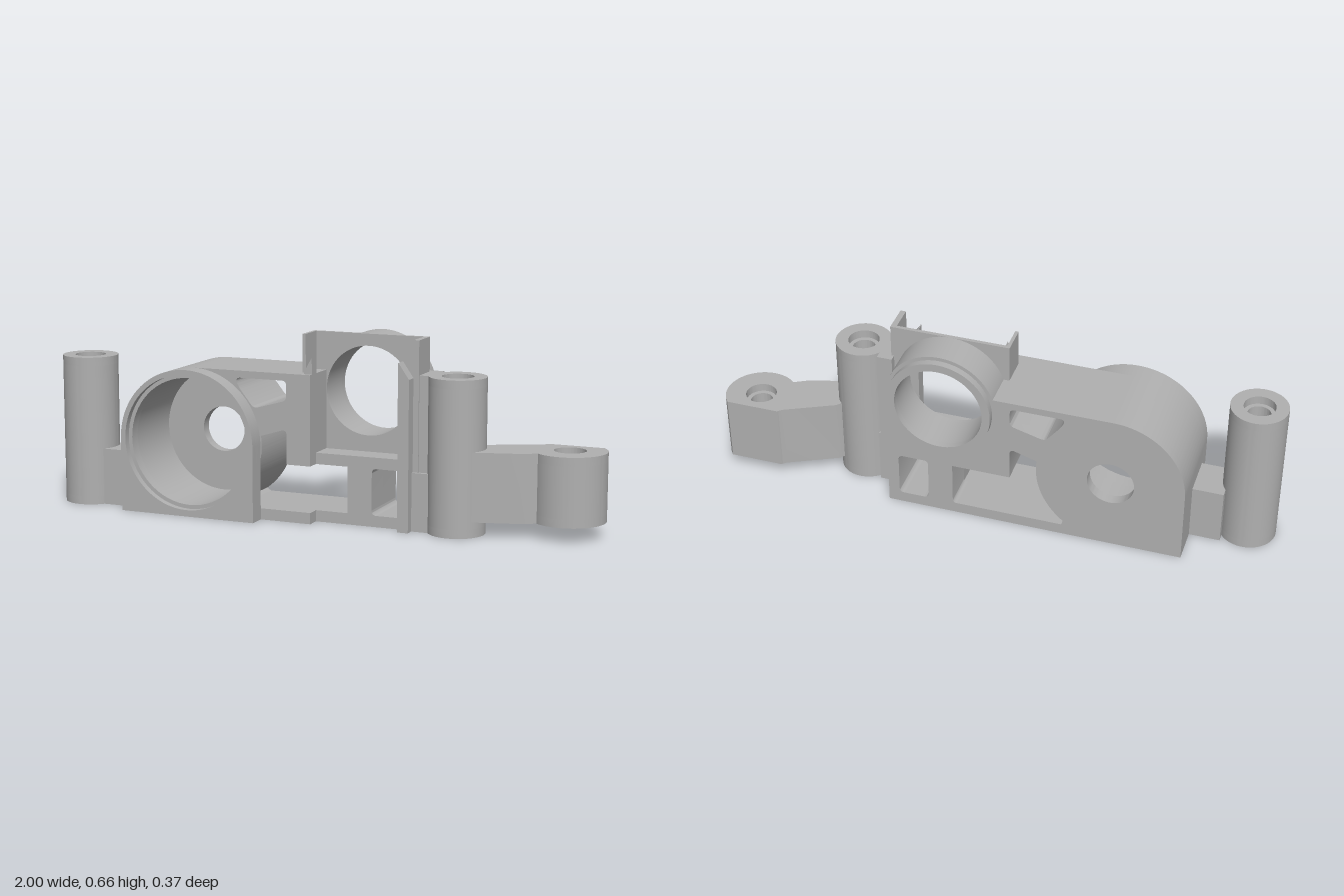
import * as THREE from 'three';
import { toCreasedNormals } from 'three/addons/utils/BufferGeometryUtils.js';

const grey = new THREE.MeshStandardMaterial({ color: 0xb0b0b0 });
grey.name = 'grey';

const HX = -0.45, HY = 0.265, HR = 0.26; // large housing centre and radius
const RX = 0.16, RY = 0.46;              // ring centre

const poly = (pts, T = THREE.Shape) => new T(pts.map(p => new THREE.Vector2(...p)));
const circle = (x, y, r, T = THREE.Path) => new T().absarc(x, y, r, 0, Math.PI * 2, false);

// polygon with rounded corners
function rounded(pts, r = 0.018) {
  const v = pts.map(p => new THREE.Vector2(...p)), path = new THREE.Path();
  v.forEach((p, i) => {
    const a = v[(i + v.length - 1) % v.length], b = v[(i + 1) % v.length];
    const s = p.clone().add(a.clone().sub(p).setLength(r));
    const e = p.clone().add(b.clone().sub(p).setLength(r));
    i ? path.lineTo(s.x, s.y) : path.moveTo(s.x, s.y);
    path.quadraticCurveTo(p.x, p.y, e.x, e.y);
  });
  path.closePath();
  return path;
}

export function createModel() {
  const root = new THREE.Group();
  root.name = 'bracket';

  function add(name, geometry) {
    const m = new THREE.Mesh(toCreasedNormals(geometry, 0.5), grey);
    m.name = name;
    root.add(m);
  }
  // extrude a front-facing outline from z0 to z1
  function slab(name, shape, z0, z1, holes = []) {
    shape.holes = holes;
    const g = new THREE.ExtrudeGeometry(shape, { depth: z1 - z0, bevelEnabled: false, curveSegments: 32 });
    add(name, g.translate(0, 0, z0));
  }
  // extrude a plan outline (x, -z) from y0 to y1
  function upright(name, shape, y0, y1, holes) {
    shape.holes = holes;
    const g = new THREE.ExtrudeGeometry(shape, { depth: y1 - y0, bevelEnabled: false, curveSegments: 32 });
    add(name, g.rotateX(-Math.PI / 2).translate(0, y0, 0));
  }
  function box(name, x0, x1, y0, y1, z0, z1) {
    add(name, new THREE.BoxGeometry(x1 - x0, y1 - y0, z1 - z0)
      .translate((x0 + x1) / 2, (y0 + y1) / 2, (z0 + z1) / 2));
  }
  // upright with a screw hole, widened at both ends
  function screwPost(name, makeShape, x, z, y0, y1) {
    const d = 0.03;
    [[y0, y0 + d, 0.055], [y0 + d, y1 - d, 0.04], [y1 - d, y1, 0.055]].forEach(([a, b, r]) =>
      upright(name, makeShape(), a, b, [circle(x, -z, r)]));
  }

  // main body: rounded housing with a cut-out open towards the ring side
  function bodyShape() {
    const s = new THREE.Shape();
    s.moveTo(-0.71, 0);
    s.lineTo(0, 0);
    s.lineTo(0, 0.04);
    s.lineTo(-0.28, 0.04);
    const a0 = Math.atan2(0.05 - HY, -0.295 - HX);
    s.absarc(HX, HY, 0.265, a0, 0.13, false);
    s.lineTo(-0.105, 0.325);
    s.quadraticCurveTo(-0.09, 0.325, -0.09, 0.31);
    s.lineTo(-0.09, 0.205);
    s.lineTo(0, 0.205);
    s.lineTo(0, 0.525);
    s.lineTo(HX, 0.525);
    s.absarc(HX, HY, HR, Math.PI / 2, Math.PI, false);
    s.closePath();
    return s;
  }
  const upperWindow = () => rounded([[-0.285, 0.5], [-0.275, 0.47], [-0.215, 0.395], [-0.09, 0.43], [-0.09, 0.5]]);
  slab('bodyBack', bodyShape(), -0.16, -0.12, [circle(HX, HY, 0.083), upperWindow()]);
  slab('body', bodyShape(), -0.12, 0.12, [circle(HX, HY, 0.228), upperWindow()]);

  // housing flange with a stepped rim
  [[0.12, 0.16, 0.228], [0.16, 0.185, 0.242]].forEach(([z0, z1, r]) => {
    const s = new THREE.Shape();
    s.moveTo(-0.71, 0);
    s.lineTo(-0.19, 0);
    s.lineTo(-0.19, HY);
    s.absarc(HX, HY, HR, 0, Math.PI, false);
    s.closePath();
    slab('housingFlange', s, z0, z1, [circle(HX, HY, r)]);
  });

  // ring support at the back
  const support = new THREE.Shape();
  const start = Math.atan2(-0.12, -0.16) + Math.PI * 2;
  support.moveTo(0, 0.04);
  support.lineTo(0, 0);
  support.lineTo(0.36, 0);
  support.lineTo(0.36, RY);
  support.absarc(RX, RY, 0.2, 0, start, false);
  support.lineTo(0, 0.205);
  support.lineTo(0.12, 0.205);
  support.lineTo(0.12, 0.055);
  support.quadraticCurveTo(0.12, 0.04, 0.105, 0.04);
  support.closePath();
  const smallWindow = () => rounded([[0.21, 0.04], [0.32, 0.04], [0.32, 0.205], [0.21, 0.205]]);
  slab('ringSupport', support, -0.16, -0.035, [circle(RX, RY, 0.158), smallWindow()]);
  slab('ringLip', circle(RX, RY, 0.187, THREE.Shape), -0.185, -0.16, [circle(RX, RY, 0.158)]);

  // lower wall in front of the support
  slab('lowerWall', poly([[0, 0], [0.36, 0], [0.36, 0.245], [0, 0.245], [0, 0.205],
    [0.12, 0.205], [0.12, 0.04], [0, 0.04]]), -0.035, 0.07, [smallWindow()]);

  // channel: back plate and thin side walls
  slab('channelPlate', poly([[-0.05, 0.245], [0.38, 0.245], [0.38, 0.66], [-0.05, 0.66]]),
    -0.035, -0.022, [circle(RX, RY, 0.158)]);
  box('channelWall', -0.05, -0.038, 0.5, 0.66, -0.035, 0.07);
  box('channelWall', 0.36, 0.38, 0, 0.66, -0.035, 0.07);

  // pointed guide fins
  slab('guideFin', poly([[-0.03, 0.5], [0, 0.5], [0, 0.585], [-0.03, 0.53]]), 0.065, 0.105);
  slab('guideFin', poly([[0.32, 0], [0.36, 0], [0.36, 0.53], [0.322, 0.585], [0.32, 0.585]]), 0.068, 0.112);

  // screw posts and their connectors
  const post = (x, z) => () => circle(x, -z, 0.1, THREE.Shape);
  screwPost('rightPost', post(-0.9, 0.06), -0.9, 0.06, 0, 0.54);
  screwPost('leftPost', post(0.505, 0.027), 0.505, 0.027, 0, 0.54);
  box('rightConnector', -0.82, -0.7, 0, 0.205, -0.03, 0.12);
  box('leftConnector', 0.37, 0.425, 0, 0.54, -0.06, 0.065);
  box('leftConnectorFoot', 0.36, 0.43, 0, 0.205, -0.06, 0.08);

  // side arm with a clipped round end
  const AX = 0.872, AZ = -0.075, AR = 0.128;
  const clip = Math.asin(0.085 / AR);
  screwPost('armEnd', () => new THREE.Shape().absarc(AX, -AZ, AR, Math.PI - clip, Math.PI * 2 + clip, false),
    AX, AZ, 0.055, 0.295);
  upright('arm', poly([[0.56, -0.098], [0.735, -0.05], [0.79, -0.02], [0.8, 0.1], [0.778, 0.16],
    [0.76, 0.145], [0.59, 0.062], [0.57, 0.04]]), 0.055, 0.295, []);

  return root;
}
